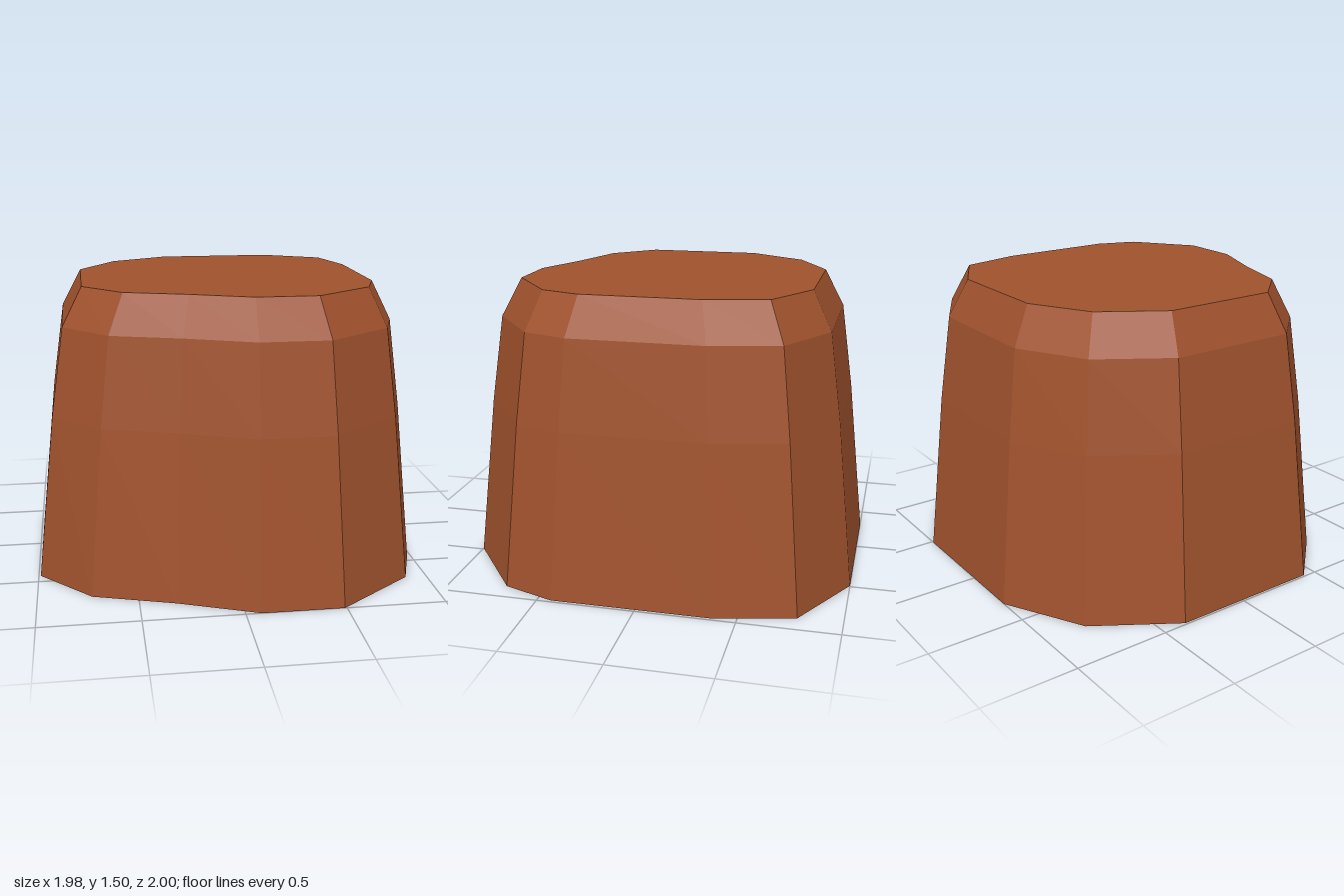
import * as THREE from 'three';

// Irregular footprint, as [x, z] corners
const outline = [
  [-0.32, -1], [0.49, -1], [0.89, -0.78], [0.985, -0.37], [0.985, 0.43], [0.89, 0.7], [0.49, 1],
  [0.08, 1], [-0.32, 0.84], [-0.73, 0.71], [-0.99, 0.43], [-0.99, -0.37], [-0.73, -0.78],
];

// Cross-sections from the ground up: height, scale, sideways shift
const rings = [
  { y: 0, s: 1, dx: 0 },
  { y: 0.85, s: 0.91, dx: 0.005 },
  { y: 1.3, s: 0.848, dx: 0.01 },
  { y: 1.495, s: 0.75, dx: 0.015 },
];

function loftGeometry() {
  const n = outline.length;
  const last = rings.length - 1;
  const positions = [];
  const corner = (r, i) => {
    const { y, s, dx } = rings[r];
    const [x, z] = outline[i % n];
    return [x * s + dx, y, z * s];
  };
  const triangle = (a, b, c) => positions.push(...a, ...b, ...c);

  for (let i = 0; i < n; i++) {
    // Tapering wall and bevelled shoulder
    for (let r = 0; r < last; r++) {
      const a = corner(r, i), b = corner(r, i + 1);
      const c = corner(r + 1, i + 1), d = corner(r + 1, i);
      triangle(a, d, c);
      triangle(a, c, b);
    }
    // Flat top and underside
    triangle([rings[last].dx, rings[last].y, 0], corner(last, i + 1), corner(last, i));
    triangle([0, 0, 0], corner(0, i), corner(0, i + 1));
  }

  const geometry = new THREE.BufferGeometry();
  geometry.setAttribute('position', new THREE.Float32BufferAttribute(positions, 3));
  geometry.computeVertexNormals();
  return geometry;
}

export function createModel() {
  const group = new THREE.Group();
  group.name = 'facetedStump';
  const material = new THREE.MeshStandardMaterial({ color: 0xa0522d, flatShading: true });
  const body = new THREE.Mesh(loftGeometry(), material);
  body.name = 'stumpBody';
  group.add(body);
  return group;
}
